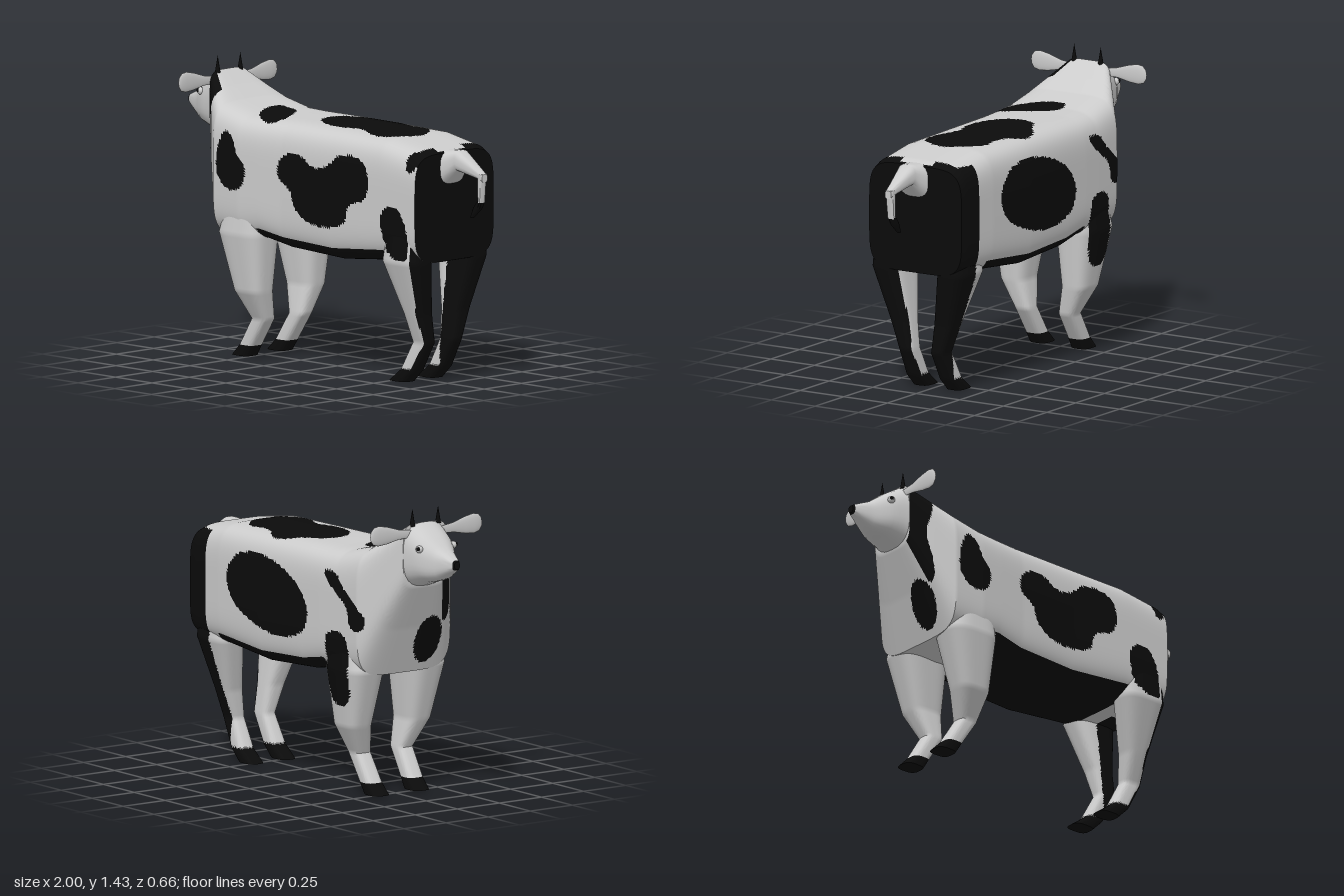
import * as THREE from 'three';
import { toCreasedNormals } from 'three/addons/utils/BufferGeometryUtils.js';

const material = (name, color) => {
  const m = new THREE.MeshStandardMaterial({ color });
  m.name = name;
  return m;
};

// Closed, smoothed patch outline from a few flat coordinate pairs
function outline(c) {
  const pts = [];
  for (let i = 0; i < c.length; i += 2) pts.push(new THREE.Vector3(c[i], c[i + 1], 0));
  return new THREE.CatmullRomCurve3(pts, true).getPoints(80);
}

function inside(poly, x, y) {
  let hit = false;
  for (let i = 0, j = poly.length - 1; i < poly.length; j = i++) {
    const a = poly[i], b = poly[j];
    if ((a.y > y) !== (b.y > y) && x < ((b.x - a.x) * (y - a.y)) / (b.y - a.y) + a.x) hit = !hit;
  }
  return hit;
}

// Coat patches: +z side and -z side in (x, y), back in (x, z)
const nearPatches = [
  [-0.5, 1.11, -0.45, 1.1, -0.41, 1.02, -0.355, 0.95, -0.37, 0.87, -0.42, 0.835, -0.5, 0.85, -0.545, 0.92, -0.54, 1.02],
  [-0.15, 0.98, -0.1, 1.04, 0, 1.045, 0.08, 1, 0.17, 1.01, 0.25, 1.07, 0.36, 1.08, 0.44, 1.04, 0.46, 0.95, 0.43, 0.88,
    0.36, 0.855, 0.32, 0.83, 0.3, 0.76, 0.2, 0.72, 0.05, 0.73, -0.04, 0.79, -0.07, 0.87, -0.14, 0.92],
  [0.55, 0.82, 0.6, 0.865, 0.67, 0.85, 0.71, 0.78, 0.73, 0.68, 0.72, 0.62, 0.64, 0.62, 0.58, 0.67, 0.55, 0.75],
  [-0.78, 1.38, -0.65, 1.32, -0.66, 1.2, -0.68, 1.1, -0.655, 0.95, -0.65, 0.84, -0.7, 0.86, -0.78, 1.05],
  [0.71, 1.13, 0.76, 1.13, 0.76, 1.05, 0.72, 1.05],
].map(outline);
const farPatches = [
  [0.46, 0.95, 0.4, 1.05, 0.25, 1.09, 0.04, 1.06, -0.12, 0.98, -0.19, 0.87, -0.16, 0.78, -0.06, 0.73, 0.12, 0.72, 0.3, 0.77, 0.42, 0.84],
  [-0.32, 1.09, -0.4, 1.09, -0.47, 1.02, -0.55, 0.96, -0.6, 0.88, -0.58, 0.83, -0.52, 0.84, -0.49, 0.93, -0.42, 0.99, -0.35, 1.04],
  [-0.34, 0.78, -0.41, 0.81, -0.48, 0.78, -0.5, 0.63, -0.48, 0.47, -0.41, 0.44, -0.35, 0.48, -0.33, 0.63],
].map(outline);
const backPatches = [
  [-0.1, -0.03, -0.08, -0.12, 0, -0.17, 0.07, -0.22, 0.17, -0.235, 0.25, -0.19, 0.33, -0.17, 0.42, -0.18, 0.5, -0.13,
    0.55, -0.03, 0.53, 0.07, 0.46, 0.14, 0.37, 0.14, 0.25, 0.09, 0.12, 0.12, 0, 0.09, -0.07, 0.04],
  [-0.45, -0.05, -0.4, -0.08, -0.34, -0.06, -0.28, 0.03, -0.22, 0.14, -0.24, 0.2, -0.3, 0.2, -0.38, 0.15, -0.44, 0.05],
].map(outline);

// True where the coat is black
function coat(p, n) {
  if (p.y < 0.065) return true; // hooves
  if (p.x > 0.5 && p.y < 1.13 && (n.x > 0.35 || (p.z < 0 && p.x > 0.64))) return true; // rump
  if (p.x > 0.735 && Math.abs(p.z + 0.01) > 0.09 && n.y > 0.5) return true; // rump edge
  if (n.y < -0.4 && p.y > 0.5 && p.y < 0.66 && p.x > -0.3 && p.x < 0.56) return true; // belly
  if (n.x < -0.2 && p.x < -0.5 && Math.hypot((p.z - 0.1) / 0.08, (p.y - 0.76) / 0.12) < 1) return true; // chest
  if (n.y > 0.5 && p.y > 1 && backPatches.some((s) => inside(s, p.x, p.z))) return true;
  if (n.z > 0.2 && p.z > 0) return nearPatches.some((s) => inside(s, p.x, p.y));
  if (n.z < -0.2 && p.z < 0) return farPatches.some((s) => inside(s, p.x, p.y));
  return false;
}

// Rounded-box loft along x (rows: x, yMin, yMax, zMin, zMax) or down y (rows: y, xMin, xMax, zMin, zMax)
function loft(axis, keys, { power = 3, sides = 24, step = 0.04 } = {}) {
  const collapse = ([t, a0, a1, b0, b1]) => [t, (a0 + a1) / 2, (a0 + a1) / 2, (b0 + b1) / 2, (b0 + b1) / 2];
  const all = [collapse(keys[0]), ...keys, collapse(keys[keys.length - 1])];
  const rows = [all[0]];
  for (let i = 1; i < all.length; i++) {
    const from = all[i - 1], to = all[i];
    const count = Math.max(1, Math.ceil(Math.max(...to.map((v, k) => Math.abs(v - from[k]))) / step));
    for (let s = 1; s <= count; s++) rows.push(to.map((v, k) => from[k] + ((v - from[k]) * s) / count));
  }
  const pos = [], index = [];
  rows.forEach(([t, a0, a1, b0, b1], i) => {
    for (let j = 0; j < sides; j++) {
      const th = (j / sides) * Math.PI * 2, c = Math.cos(th), s = Math.sin(th);
      const r = (Math.abs(c) ** power + Math.abs(s) ** power) ** (-1 / power);
      const a = (a0 + a1) / 2 + ((a1 - a0) / 2) * c * r, b = (b0 + b1) / 2 + ((b1 - b0) / 2) * s * r;
      if (axis === 'x') pos.push(t, a, b);
      else pos.push(a, t, b);
      if (i === 0) continue;
      const k = (j + 1) % sides, p = (i - 1) * sides, q = i * sides;
      if (i > 1) index.push(p + j, p + k, q + k);
      else index.push(p + j, q + k, q + j);
      if (i > 1 && i < rows.length - 1) index.push(p + j, q + k, q + j);
    }
  });
  const g = new THREE.BufferGeometry();
  g.setAttribute('position', new THREE.Float32BufferAttribute(pos, 3));
  g.setIndex(index);
  return toCreasedNormals(g, 0.75);
}

// Sort the triangles into a white group and a black group
function paint(g, rule) {
  const pos = g.attributes.position, light = [], dark = [];
  const t = new THREE.Triangle(), mid = new THREE.Vector3(), normal = new THREE.Vector3();
  for (let i = 0; i < pos.count; i += 3) {
    t.setFromAttributeAndIndices(pos, i, i + 1, i + 2);
    t.getMidpoint(mid);
    t.getNormal(normal);
    (rule(mid, normal) ? dark : light).push(i, i + 1, i + 2);
  }
  g.setIndex([...light, ...dark].length ? light.concat(dark) : null);
  g.addGroup(0, light.length, 0);
  g.addGroup(light.length, dark.length, 1);
  return g;
}

export function createModel() {
  const cow = new THREE.Group();
  cow.name = 'cow';
  const white = material('white coat', 0xcccccc);
  const black = material('black coat', 0x0b0b0b);
  const add = (name, geometry, mat, parent = cow) => {
    const m = new THREE.Mesh(geometry, mat);
    m.name = name;
    parent.add(m);
    return m;
  };

  // Barrel, chest and neck
  const body = loft('x', [
    [-0.74, 1.05, 1.36, -0.13, 0.13],
    [-0.65, 0.83, 1.29, -0.21, 0.21],
    [-0.57, 0.6, 1.235, -0.28, 0.275],
    [-0.4, 0.59, 1.195, -0.29, 0.28],
    [-0.28, 0.6, 1.19, -0.295, 0.27],
    [-0.13, 0.57, 1.19, -0.297, 0.255],
    [0.2, 0.553, 1.187, -0.3, 0.25],
    [0.53, 0.585, 1.18, -0.297, 0.25],
    [0.74, 0.59, 1.145, -0.285, 0.25],
    [0.78, 0.6, 1.125, -0.28, 0.25],
  ], { power: 5, sides: 160, step: 0.014 });
  add('body', paint(body, coat), [white, black]);

  // Head with a black nose
  const head = loft('x', [
    [-1, 1.167, 1.203, -0.016, 0.016],
    [-0.99, 1.16, 1.21, -0.022, 0.022],
    [-0.9, 1.105, 1.25, -0.065, 0.065],
    [-0.86, 1.09, 1.28, -0.09, 0.09],
    [-0.82, 1.08, 1.31, -0.11, 0.11],
    [-0.74, 1.05, 1.36, -0.13, 0.13],
  ], { power: 2.8, sides: 32, step: 0.03 });
  add('head', paint(head, (p) => p.x < -0.992), [white, black]);

  // Legs, mirrored across the body, with painted hooves
  const front = [
    [0.8, -0.52, -0.3, 0.06, 0.26],
    [0.62, -0.57, -0.285, 0.07, 0.282],
    [0.34, -0.49, -0.31, 0.1, 0.24],
    [0.2, -0.435, -0.335, 0.075, 0.165],
    [0.065, -0.52, -0.425, 0.07, 0.162],
    [0.01, -0.575, -0.46, 0.065, 0.162],
  ];
  const rear = [
    [0.8, 0.56, 0.775, 0.1, 0.24],
    [0.6, 0.535, 0.78, 0.1, 0.262],
    [0.34, 0.61, 0.733, 0.065, 0.175],
    [0.2, 0.625, 0.728, 0.047, 0.125],
    [0.06, 0.55, 0.65, 0.045, 0.135],
    [0, 0.47, 0.59, 0.045, 0.135],
  ];
  for (const [name, rows] of [['frontLeg', front], ['rearLeg', rear]]) {
    for (const side of [1, -1]) {
      const keys = side > 0 ? rows : rows.map(([y, x0, x1, z0, z1]) => [y, x0, x1, -z1 - 0.01, -z0 - 0.01]);
      add(name, paint(loft('y', keys, { power: 3.2, sides: 56, step: 0.015 }), coat), [white, black]);
    }
  }

  // Tail: root, hanging part and tuft
  const tail = new THREE.Group();
  tail.name = 'tail';
  cow.add(tail);
  add('tailRoot', loft('x', [
    [0.76, 0.95, 1.135, -0.1, 0.09],
    [0.84, 1.04, 1.14, -0.055, 0.045],
    [0.96, 1.015, 1.065, -0.03, 0.02],
    [1, 1, 1.04, -0.022, 0.015],
  ]), white, tail);
  add('tailEnd', loft('y', [[1.04, 0.96, 1, -0.026, 0.018], [0.9, 0.963, 0.985, -0.025, 0.012]], { sides: 12 }), white, tail);
  add('tailTuft', loft('y', [[0.905, 0.955, 0.985, -0.028, 0.012], [0.87, 0.925, 0.972, -0.026, 0.01], [0.82, 0.9, 0.92, -0.016, 0]], { sides: 12 }), black, tail);

  // Ears, horns and eyes
  const earProfile = [[0, 0], [0.018, 0], [0.024, 0.07], [0.042, 0.14], [0.049, 0.19], [0.042, 0.22], [0.022, 0.236], [0, 0.24]]
    .map(([r, y]) => new THREE.Vector2(r, y));
  for (const s of [1, -1]) {
    const ear = add('ear', new THREE.LatheGeometry(earProfile, 20), white);
    ear.scale.set(0.2, 1, 1);
    ear.rotation.x = s * 1.52;
    ear.position.set(-0.748, 1.312, s * 0.092);
    const horn = add('horn', new THREE.ConeGeometry(0.014, 0.085, 10), black);
    horn.position.set(-0.738, 1.388, s * 0.076 + 0.002);
    const eye = add('eye', new THREE.SphereGeometry(0.018, 16, 12), white);
    eye.position.set(-0.83, 1.25, s * 0.1);
    const pupil = add('pupil', new THREE.SphereGeometry(0.01, 12, 8), black);
    pupil.position.set(-0.836, 1.253, s * 0.111);
  }
  return cow;
}
